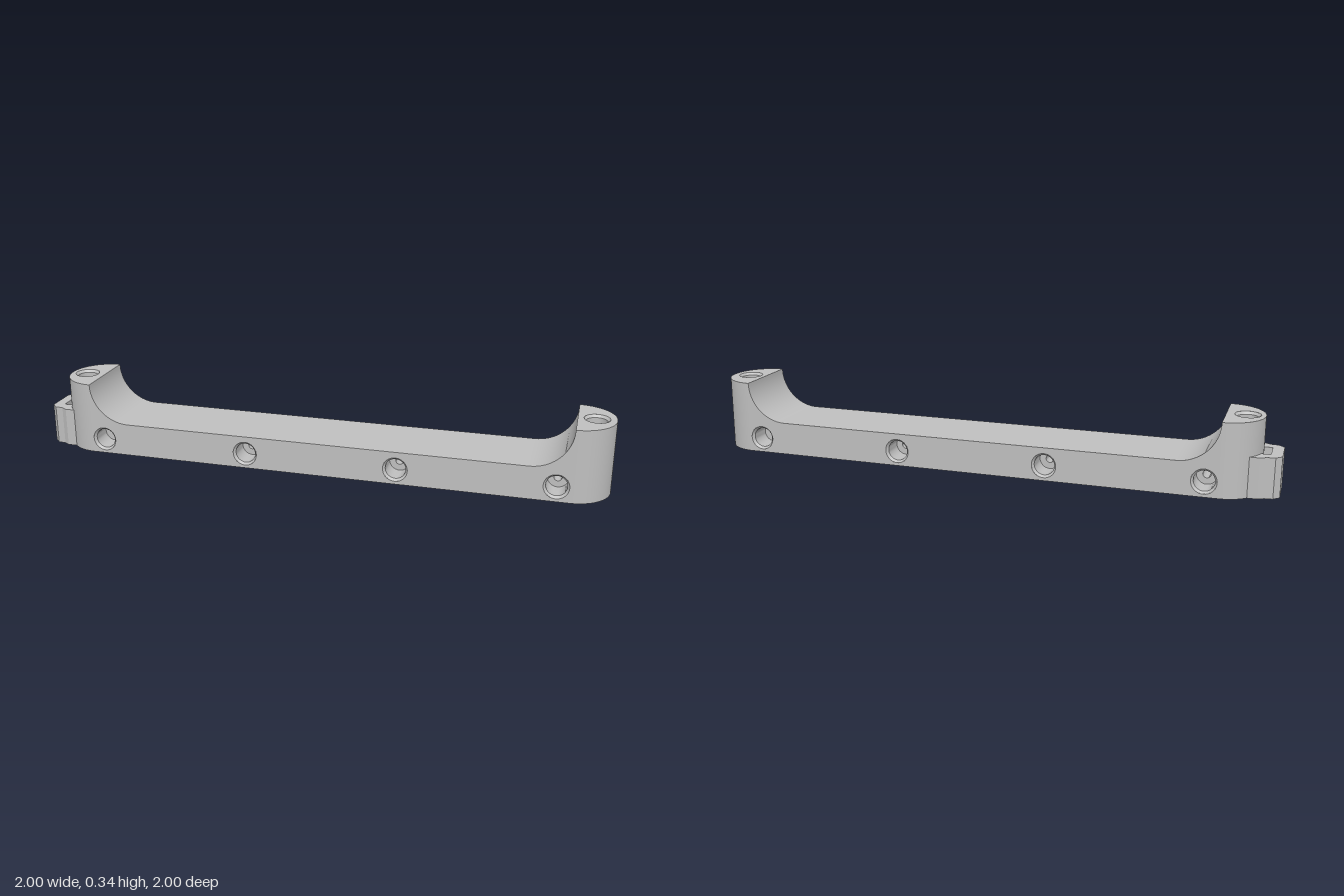
import * as THREE from 'three';
import { toCreasedNormals } from 'three/addons/utils/BufferGeometryUtils.js';

// Bar measured in its own frame: x along the bar, z across it
const R = 0.17, LEFT = -1.089, RIGHT = 1.176, TOP = 0.34, DECK = 0.155;
const BORE = 0.057, SIDE_Y = 0.071;
const CAP_BORES = [-1.181, 1.259];
const SIDE_BORES = [-1.027, -0.313, 0.401, 1.115];

function addHole(shape, x, y) {
  shape.holes.push(new THREE.Path().absarc(x, y, BORE, 0, Math.PI * 2, true));
}

export function createModel() {
  const model = new THREE.Group();
  const bar = new THREE.Group();
  bar.name = 'bar';
  bar.rotation.y = -Math.PI / 4;
  model.add(bar);

  const grey = new THREE.MeshStandardMaterial({ color: 0xbfbfbf, side: THREE.DoubleSide });
  grey.name = 'grey plastic';

  const add = (name, geometry, x = 0, y = 0, z = 0) => {
    const mesh = new THREE.Mesh(geometry, grey);
    mesh.name = name;
    mesh.position.set(x, y, z);
    bar.add(mesh);
    return mesh;
  };

  // Upper edge: fillet down from the left post, flat deck, fillet up to the right post
  const f = TOP - DECK, N = 20, edge = [];
  for (let i = 0; i <= N; i++) {
    const a = Math.PI + (i / N) * Math.PI / 2;
    edge.push(new THREE.Vector2(LEFT + f + f * Math.cos(a), TOP + f * Math.sin(a)));
  }
  for (let i = 0; i <= N; i++) {
    const a = Math.PI * 1.5 + (i / N) * Math.PI / 2;
    edge.push(new THREE.Vector2(RIGHT - f + f * Math.cos(a), TOP + f * Math.sin(a)));
  }
  const deck = new THREE.PlaneGeometry(1, 1, edge.length - 1, 1);
  const pos = deck.attributes.position;
  for (let i = 0; i < pos.count; i++) {
    const p = edge[i % edge.length];
    pos.setXYZ(i, p.x, p.y, i < edge.length ? -R : R);
  }
  deck.computeVertexNormals();
  add('deck', deck);

  // Flat side walls with round openings
  const wall = new THREE.Shape([
    new THREE.Vector2(LEFT, 0), new THREE.Vector2(RIGHT, 0), ...edge.slice().reverse(),
  ]);
  SIDE_BORES.forEach((x) => addHole(wall, x, SIDE_Y));
  const wallGeometry = new THREE.ShapeGeometry(wall, 32);
  add('frontWall', wallGeometry, 0, 0, R);
  add('backWall', wallGeometry, 0, 0, -R).scale.z = -1;

  // Rounded ends and their half-round tops
  for (const [i, x] of [LEFT, RIGHT].entries()) {
    const start = i === 0 ? Math.PI : 0;
    add('roundedEnd', new THREE.CylinderGeometry(R, R, TOP, 32, 1, true, start, Math.PI), x, TOP / 2);
    const cap = new THREE.Shape();
    const a = i === 0 ? Math.PI / 2 : -Math.PI / 2;
    cap.absarc(x, 0, R, a, a + Math.PI, false);
    cap.closePath();
    addHole(cap, CAP_BORES[i], 0);
    add('postTop', new THREE.ShapeGeometry(cap, 32).rotateX(-Math.PI / 2), 0, TOP);
  }

  // Underside
  const base = new THREE.Shape();
  base.absarc(RIGHT, 0, R, -Math.PI / 2, Math.PI / 2, false);
  base.absarc(LEFT, 0, R, Math.PI / 2, Math.PI * 1.5, false);
  base.closePath();
  CAP_BORES.forEach((x) => addHole(base, x, 0));
  add('underside', new THREE.ShapeGeometry(base, 32).rotateX(Math.PI / 2));

  // Chamfered, stepped bores that meet at the middle of the body
  const profile = [[BORE, 0], [0.047, -0.012], [0.047, -0.11], [0.018, -0.11], [0.018, -0.17]];
  const bore = toCreasedNormals(
    new THREE.LatheGeometry(profile.map(([r, y]) => new THREE.Vector2(r, y)), 32), 0.5);
  for (const x of CAP_BORES) {
    add('topBore', bore, x, TOP);
    add('bottomBore', bore, x, 0).rotation.x = Math.PI;
  }
  for (const x of SIDE_BORES) {
    add('frontBore', bore, x, SIDE_Y, R).rotation.x = Math.PI / 2;
    add('backBore', bore, x, SIDE_Y, -R).rotation.x = -Math.PI / 2;
  }

  // Strap loop on the left end: a stepped outline wrapped around a slot
  const half = [[-1.205, 0.122], [-1.252, 0.122], [-1.278, 0.106], [-1.315, 0.102], [-1.342, 0.075]];
  const inner = [[-1.292, 0.054], [-1.249, 0.054], [-1.232, 0.09]];
  const mirror = (list) => list.map(([x, y]) => [x, -y]).reverse();
  const outline = [...half, ...mirror(half), ...mirror(inner), ...inner];
  const loop = new THREE.Shape(outline.map(([x, y]) => new THREE.Vector2(x, y)));
  add('strapLoop', new THREE.ExtrudeGeometry(loop, { depth: 0.185, bevelEnabled: false })
    .rotateX(-Math.PI / 2));

  return model;
}
